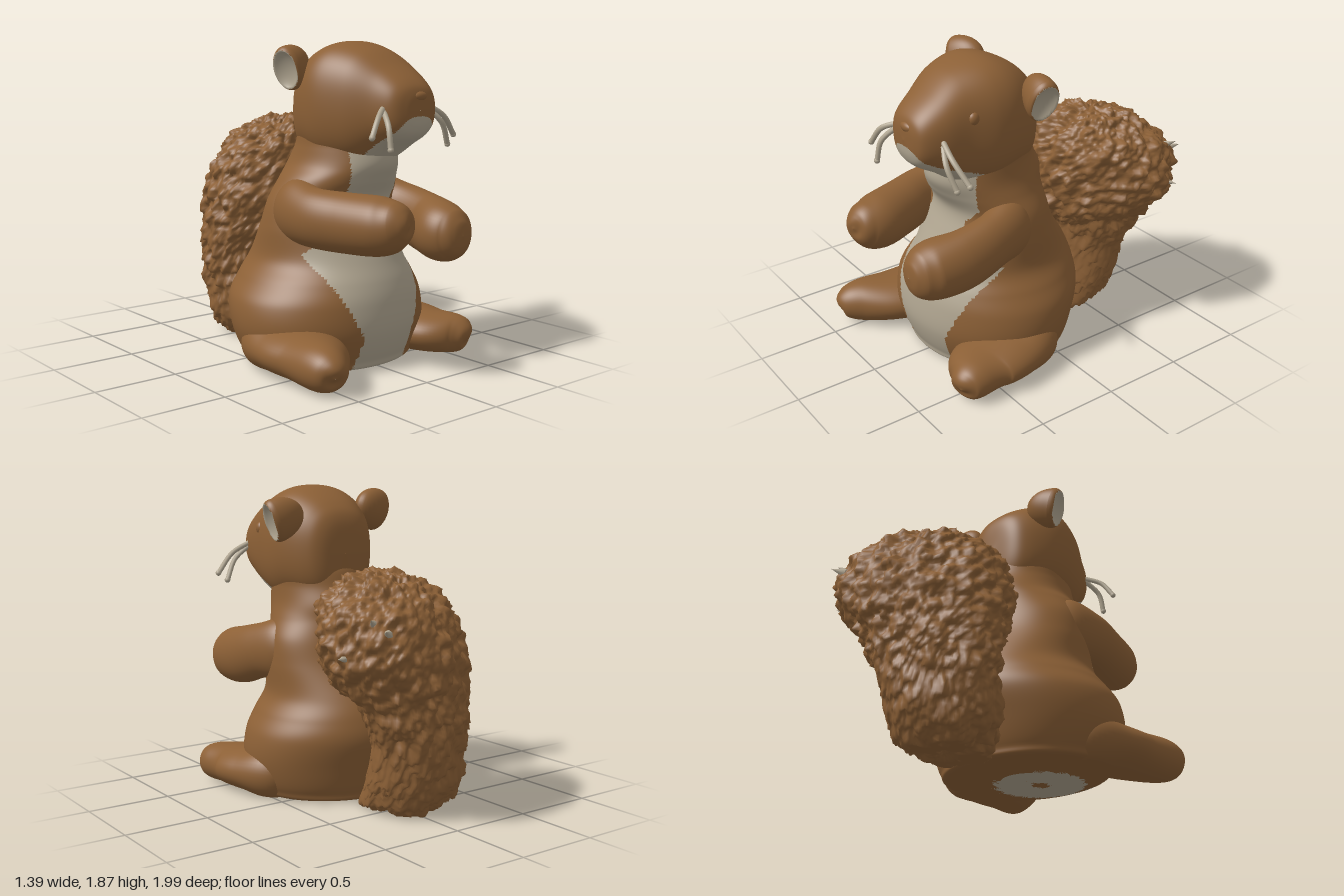
import * as THREE from 'three';

const brown = new THREE.MeshStandardMaterial({ color: 0x8c6036 });
brown.name = 'brown fur';
const cream = new THREE.MeshStandardMaterial({ color: 0xb1a691 });
cream.name = 'cream fur';
const V = (x, y, z) => new THREE.Vector3(x, y, z);
const UP = V(0, 1, 0), FRONT = V(0, 0, 1);

// Smooth skin over elliptical stations [x, y, z, sideRadius, refRadius].
// A fixed axis keeps all rings parallel; otherwise they follow the path.
function sweep(stations, ref, { axis = null, rows = 56, cols = 48, square = 0 } = {}) {
  const path = new THREE.CatmullRomCurve3(stations.map(s => V(s[0], s[1], s[2])), false, 'catmullrom', 0.5);
  const radii = new THREE.CatmullRomCurve3(stations.map(s => V(s[3], s[4], 0)), false, 'catmullrom', 0.5);
  const pos = [], index = [];
  for (let i = 0; i <= rows; i++) {
    const c = path.getPoint(i / rows), r = radii.getPoint(i / rows);
    const t = axis || path.getTangent(i / rows);
    const s = ref.clone().cross(t).normalize(), n = t.clone().cross(s);
    const a = Math.max(r.x, 0.001), b = Math.max(r.y, 0.001);
    for (let j = 0; j < cols; j++) {
      const w = j / cols * Math.PI * 2, k = 1 + square * Math.sin(2 * w) ** 2;
      const p = c.clone().addScaledVector(s, k * a * Math.cos(w)).addScaledVector(n, k * b * Math.sin(w));
      pos.push(p.x, Math.max(p.y, 0), p.z);
      if (i === rows) continue;
      const q = i * cols, m = (j + 1) % cols;
      index.push(q + j, q + m, q + cols + m, q + j, q + cols + m, q + cols + j);
    }
  }
  const g = new THREE.BufferGeometry();
  g.setAttribute('position', new THREE.Float32BufferAttribute(pos, 3));
  g.setIndex(index);
  g.computeVertexNormals();
  return g;
}

// Sorts faces into a brown and a cream group by a rule on their centres.
function paint(g, isCream) {
  const p = g.attributes.position, src = g.index.array, sets = [[], []];
  for (let i = 0; i < src.length; i += 3) {
    const c = V(0, 0, 0);
    for (let k = 0; k < 3; k++) c.add(V(0, 0, 0).fromBufferAttribute(p, src[i + k]));
    sets[isCream(c.divideScalar(3)) ? 1 : 0].push(src[i], src[i + 1], src[i + 2]);
  }
  g.setIndex(sets.flat());
  g.addGroup(0, sets[0].length, 0);
  g.addGroup(sets[0].length, sets[1].length, 1);
  return g;
}

// Moves vertices by a rule.
function reshape(g, rule) {
  const p = g.attributes.position, v = V(0, 0, 0);
  for (let i = 0; i < p.count; i++) {
    rule(v.fromBufferAttribute(p, i));
    p.setXYZ(i, v.x, v.y, v.z);
  }
  g.computeVertexNormals();
  return g;
}

// Seeded value noise in -1..1
function hash(x, y, z) {
  const h = Math.sin(x * 127.1 + y * 311.7 + z * 74.7) * 43758.5453;
  return (h - Math.floor(h)) * 2 - 1;
}
function noise(x, y, z) {
  const f = Math.floor, l = THREE.MathUtils.lerp, s = t => t * t * (3 - 2 * t);
  const X = f(x), Y = f(y), Z = f(z), u = s(x - X), v = s(y - Y), w = s(z - Z);
  const row = (b, c) => l(hash(X, Y + b, Z + c), hash(X + 1, Y + b, Z + c), u);
  return l(l(row(0, 0), row(1, 0), v), l(row(0, 1), row(1, 1), v), w);
}

export function createModel() {
  const model = new THREE.Group();
  model.name = 'squirrel';
  const add = (name, geo, mat = brown) => {
    const m = new THREE.Mesh(geo, mat);
    m.name = name;
    model.add(m);
  };
  const ball = (name, x, y, z, sx, sy, sz) =>
    add(name, new THREE.SphereGeometry(1, 32, 24).scale(sx, sy, sz).translate(x, y, z));

  // Body swelling into the haunches, with cream bib [y, right edge, left edge] and underside patch
  const bib = [[0, -0.2, 0.21], [0.2, -0.17, 0.23], [0.4, -0.27, 0.32], [0.66, -0.39, 0.4], [0.75, -0.31, 0.26],
    [0.9, -0.16, 0.18], [1.0, -0.14, 0.28], [1.5, -0.14, 0.3]];
  const inBib = c => {
    const i = Math.max(1, bib.findIndex(b => b[0] > c.y)), [a, b] = [bib[i - 1], bib[i]];
    const edge = k => THREE.MathUtils.mapLinear(c.y, a[0], b[0], a[k], b[k]);
    return c.x > edge(1) && c.x < edge(2);
  };
  const body = sweep([
    [0, 0, 0.2, 0, 0], [-0.02, 0, 0.18, 0.46, 0.4], [-0.02, 0.06, 0.18, 0.55, 0.46], [-0.03, 0.22, 0.18, 0.61, 0.51],
    [-0.03, 0.38, 0.155, 0.6, 0.53], [-0.02, 0.5, 0.145, 0.53, 0.51], [-0.01, 0.62, 0.14, 0.455, 0.46],
    [0, 0.8, 0.16, 0.445, 0.36], [0.01, 0.95, 0.17, 0.42, 0.31], [0.02, 1.07, 0.21, 0.36, 0.33],
    [0.04, 1.16, 0.23, 0.31, 0.35], [0.05, 1.26, 0.25, 0.29, 0.32],
    [0.06, 1.38, 0.26, 0.28, 0.29], [0.06, 1.46, 0.26, 0.2, 0.2], [0.06, 1.48, 0.26, 0, 0],
  ], FRONT, { axis: UP, rows: 130, cols: 160 });
  add('body', paint(body, c => {
    if (c.y < 0.004) {
      const d = Math.hypot(c.x, c.z - 0.32);
      return d < 0.27 && d > 0.05;
    }
    return c.z > 0.25 && inBib(c);
  }), [brown, cream]);

  // Head, squared slightly in cross-section, with cream chin
  const head = sweep([
    [0.06, 1.46, -0.04, 0, 0], [0.06, 1.46, -0.02, 0.16, 0.2], [0.06, 1.47, 0.05, 0.25, 0.29],
    [0.06, 1.5, 0.19, 0.32, 0.34], [0.06, 1.5, 0.33, 0.33, 0.365], [0.07, 1.495, 0.5, 0.28, 0.325],
    [0.1, 1.495, 0.64, 0.225, 0.235], [0.11, 1.485, 0.75, 0.17, 0.16], [0.12, 1.485, 0.79, 0.1, 0.095],
    [0.12, 1.485, 0.8, 0, 0],
  ], UP, { axis: FRONT, rows: 100, cols: 120, square: 0.07 });
  add('head', paint(head, c => c.z > 0.4 && c.y < 1.45 - 30 * Math.abs(c.x - 0.12) ** 3), [brown, cream]);
  ball('nose', 0.13, 1.56, 0.775, 0.055, 0.03, 0.03);
  ball('rightEye', -0.17, 1.6, 0.49, 0.03, 0.04, 0.035);
  ball('leftEye', 0.33, 1.6, 0.48, 0.03, 0.04, 0.035);

  // Cupped ears with cream insides
  const ear = (name, at, up, out) => {
    const g = paint(new THREE.SphereGeometry(1, 36, 28), c => c.z > 0 && Math.hypot(c.x, c.y) < 0.88);
    reshape(g, v => {
      if (v.z > 0.5) v.z = 0.5 - (v.z - 0.5) * 0.9;
      if (v.z < 0) v.z *= 2.4;
      v.set(v.x * 0.09, v.y * 0.13, v.z * 0.075);
    });
    const z = out.clone().normalize(), x = up.clone().cross(z).normalize(), y = z.clone().cross(x);
    g.applyMatrix4(new THREE.Matrix4().makeBasis(x, y, z).setPosition(at));
    add(name, g, [brown, cream]);
  };
  ear('leftEar', V(0.455, 1.66, 0.11), V(0.6, 0.85, 0), V(0.85, -0.3, 0.15));
  ear('rightEar', V(-0.3, 1.71, 0.15), V(-0.4, 0.9, 0), V(-0.85, -0.25, 0.3));

  // Whiskers
  [
    [[-0.07, 1.5, 0.7], [-0.17, 1.45, 0.77], [-0.24, 1.35, 0.8]],
    [[-0.07, 1.49, 0.7], [-0.12, 1.4, 0.8], [-0.13, 1.28, 0.83]],
    [[0.29, 1.51, 0.66], [0.42, 1.44, 0.68], [0.54, 1.32, 0.65]],
    [[0.3, 1.49, 0.66], [0.39, 1.4, 0.7], [0.46, 1.27, 0.68]],
  ].forEach((p, i) => {
    const curve = new THREE.CatmullRomCurve3(p.map(q => V(...q)));
    add('whisker' + (i + 1), new THREE.TubeGeometry(curve, 12, 0.016, 8), cream);
    const tip = new THREE.SphereGeometry(0.018, 10, 8);
    add('whiskerTip' + (i + 1), tip.translate(...p[2]), cream);
  });

  // Arms growing out of the shoulders
  add('leftArm', sweep([
    [0.25, 0.9, 0.05, 0, 0], [0.31, 0.88, 0.2, 0.13, 0.18], [0.38, 0.85, 0.4, 0.125, 0.17],
    [0.385, 0.8, 0.6, 0.14, 0.18], [0.345, 0.775, 0.77, 0.165, 0.175],
    [0.34, 0.77, 0.87, 0.13, 0.145], [0.34, 0.77, 0.92, 0.075, 0.085], [0.34, 0.77, 0.935, 0, 0],
  ], UP));
  add('rightArm', sweep([
    [-0.24, 0.92, 0.05, 0, 0], [-0.29, 0.9, 0.2, 0.14, 0.18], [-0.33, 0.88, 0.42, 0.135, 0.17],
    [-0.265, 0.87, 0.62, 0.15, 0.17], [-0.19, 0.87, 0.82, 0.16, 0.165],
    [-0.165, 0.885, 0.93, 0.125, 0.13], [-0.155, 0.89, 0.985, 0.075, 0.075], [-0.15, 0.89, 1.0, 0, 0],
  ], UP));

  // Feet
  add('leftFoot', sweep([
    [0.36, 0.14, 0, 0, 0], [0.41, 0.14, 0.12, 0.18, 0.16], [0.45, 0.13, 0.35, 0.23, 0.14],
    [0.48, 0.12, 0.54, 0.215, 0.125], [0.555, 0.115, 0.68, 0.135, 0.115],
    [0.58, 0.11, 0.745, 0.085, 0.08], [0.59, 0.1, 0.77, 0, 0],
  ], UP));
  add('rightFoot', sweep([
    [-0.38, 0.14, 0, 0, 0], [-0.42, 0.14, 0.14, 0.2, 0.16], [-0.45, 0.135, 0.38, 0.24, 0.14],
    [-0.48, 0.135, 0.58, 0.215, 0.135], [-0.55, 0.135, 0.78, 0.145, 0.13],
    [-0.58, 0.13, 0.89, 0.085, 0.085], [-0.59, 0.12, 0.92, 0, 0],
  ], UP));

  // Bushy tail: oval column swelling to a ball, roughened by noise
  const tail = sweep([
    [-0.02, 0, -0.45, 0, 0], [-0.03, 0.01, -0.45, 0.2, 0.22], [-0.07, 0.15, -0.52, 0.3, 0.26],
    [-0.08, 0.4, -0.58, 0.34, 0.25], [-0.05, 0.6, -0.585, 0.4, 0.26], [0.04, 0.8, -0.55, 0.48, 0.33],
    [0.11, 1.0, -0.55, 0.525, 0.35], [0.15, 1.18, -0.53, 0.45, 0.32], [0.16, 1.3, -0.51, 0.33, 0.24],
    [0.16, 1.375, -0.5, 0.17, 0.14], [0.16, 1.39, -0.5, 0, 0],
  ], V(0.42, 0, 0.9).normalize(), { axis: UP, rows: 130, cols: 180, square: 0.03 });
  reshape(tail, v => {
    const d = V(v.x - 0.1, (v.y - 0.95) * 0.6, v.z + 0.55).normalize();
    const n = 0.026 * noise(v.x * 9, v.y * 9, v.z * 9) + 0.03 * noise(v.x * 22, v.y * 22, v.z * 22)
      + 0.018 * noise(v.x * 50, v.y * 50, v.z * 50);
    v.addScaledVector(d, n);
    v.y = Math.max(0, v.y);
  });
  add('tail', tail);

  // Pale tufts on the tail
  [[0.44, 1.12, -0.93], [0.6, 0.98, -0.76], [0.48, 1.17, -0.86]].forEach((p, i) => {
    const g = new THREE.ConeGeometry(0.028, 0.09, 7);
    const out = V(p[0] - 0.1, p[1] - 0.95, p[2] + 0.55).normalize();
    g.applyQuaternion(new THREE.Quaternion().setFromUnitVectors(UP, out));
    add('tailTuft' + (i + 1), g.translate(...p), cream);
  });
  return model;
}
